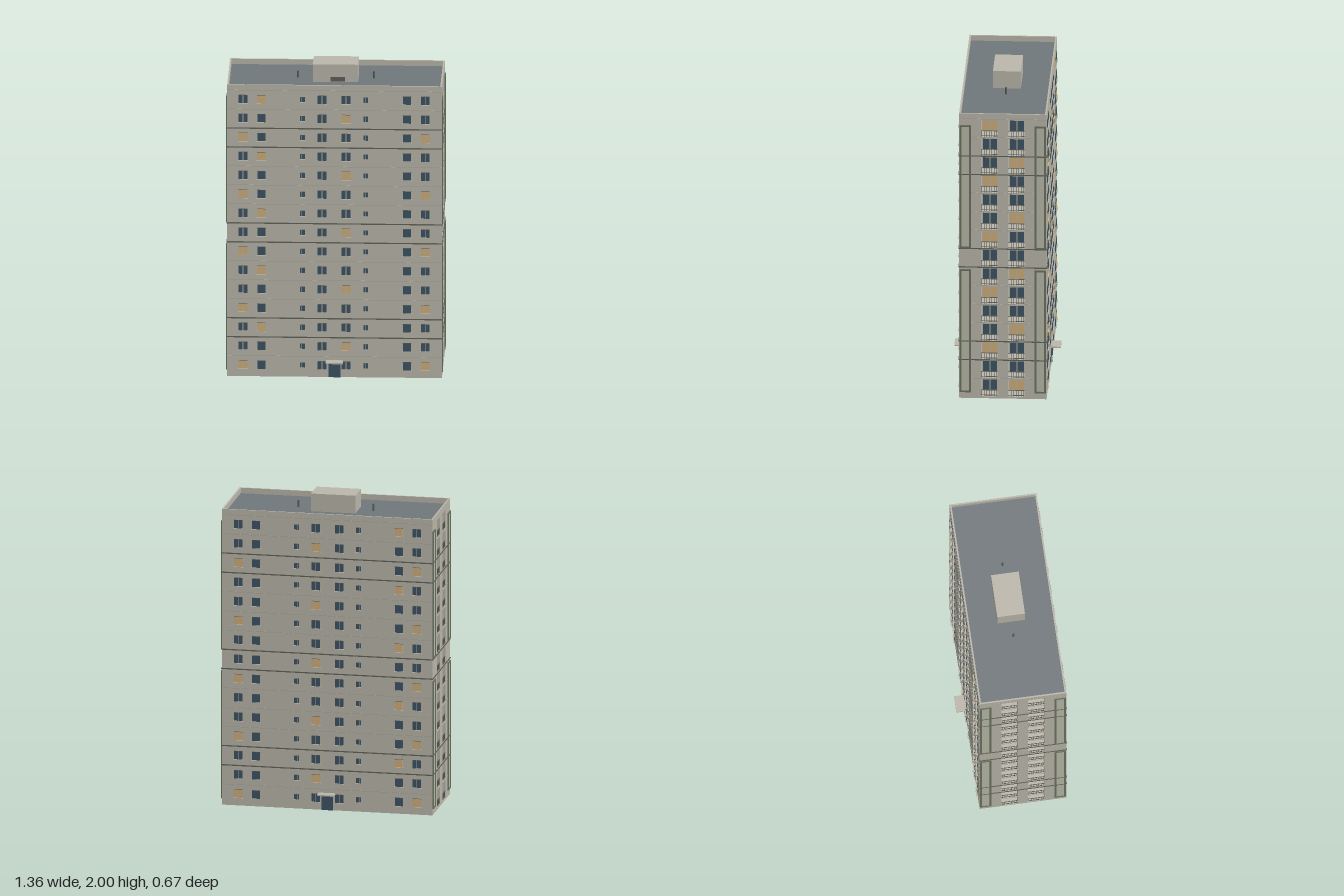
import * as THREE from 'three';
import { mergeGeometries } from 'three/addons/utils/BufferGeometryUtils.js';

const FLOORS = 15, PITCH = 0.125, BASE = 0.01;
const W = 0.675, D = 0.275, ROOF = 1.885, TOP = 1.92, LOGGIA = 0.1;

const mat = (name, color) => Object.assign(new THREE.MeshStandardMaterial({ color }), { name });

// Box given by its limits on each axis
function box(x0, x1, y0, y1, z0, z1) {
  return new THREE.BoxGeometry(x1 - x0, y1 - y0, z1 - z0)
    .translate((x0 + x1) / 2, (y0 + y1) / 2, (z0 + z1) / 2);
}

export function createModel() {
  const M = {
    concrete: mat('concrete', 0xbab6aa),
    seam: mat('panel seam', 0xa9a69b),
    panel: mat('pale green panel', 0xb8baa8),
    trim: mat('dark green trim', 0x6c7460),
    belt: mat('belt line', 0x5f6258),
    roof: mat('roof felt', 0x70777b),
    glass: mat('window glass', 0x3d5364),
    lit: mat('lit window', 0xd0ae78),
    rail: mat('railing metal', 0x5c5f58),
  };
  const group = new THREE.Group();
  const add = (parent, name, material, geos) => {
    const mesh = new THREE.Mesh(Array.isArray(geos) ? mergeGeometries(geos) : geos, material);
    mesh.name = name;
    parent.add(mesh);
    return mesh;
  };
  const floorY = i => BASE + i * PITCH;

  // Main block and roof
  const xi = W - LOGGIA;
  add(group, 'core', M.concrete, box(-xi, xi, 0, ROOF - 0.002, -D, D));
  add(group, 'roof', M.roof, box(-W + 0.01, W - 0.01, ROOF - 0.002, ROOF, -D + 0.01, D - 0.01));
  add(group, 'parapet', M.concrete, [
    box(-W, W, ROOF - 0.002, TOP, D - 0.01, D), box(-W, W, ROOF - 0.002, TOP, -D, -D + 0.01),
    box(-W, -W + 0.01, ROOF - 0.002, TOP, -D + 0.01, D - 0.01),
    box(W - 0.01, W, ROOF - 0.002, TOP, -D + 0.01, D - 0.01),
  ]);

  // Roof house with vent, and two pipes
  add(group, 'roofHouse', M.concrete, box(-0.142, 0.142, ROOF, 2, -0.088, 0.088));
  add(group, 'roofVent', M.rail, box(-0.03, 0.06, ROOF + 0.004, 1.918, 0.088, 0.091));
  for (const x of [-0.24, 0.24]) {
    add(group, 'ventPipe', M.rail, new THREE.CylinderGeometry(0.006, 0.006, 0.045, 8))
      .position.set(x, ROOF + 0.0225, 0);
  }

  // Thin seams at every storey, darker belts at some of them
  const belts = [2, 3, 7, 8, 12, 13];
  const ring = (y, h, out) => [
    box(-W - out, W + out, y - h / 2, y + h / 2, D, D + out),
    box(-W - out, W + out, y - h / 2, y + h / 2, -D - out, -D),
    box(W, W + out, y - h / 2, y + h / 2, -D, D),
    box(-W - out, -W, y - h / 2, y + h / 2, -D, D),
  ];
  const seams = [], beltGeos = [];
  for (let i = 1; i <= FLOORS; i++) {
    if (belts.includes(i)) beltGeos.push(...ring(floorY(i), 0.007, 0.004));
    else seams.push(...ring(floorY(i), 0.003, 0.001));
  }
  add(group, 'seams', M.seam, seams);
  add(group, 'belts', M.belt, beltGeos);

  // Window columns: centre, height, panes as [offset, width], storey of three that is lit
  const pair = [[-0.015, 0.025], [0.015, 0.025]];
  const columns = [
    { x: -0.575, h: 0.052, panes: pair, lit: 0 },
    { x: -0.46, h: 0.052, panes: [[0, 0.05]], lit: 2 },
    { x: -0.2, h: 0.032, panes: [[-0.011, 0.009], [0.006, 0.018]], lit: -1 },
    { x: -0.078, h: 0.052, panes: pair, lit: -1 },
    { x: 0.073, h: 0.052, panes: pair, lit: 1 },
    { x: 0.197, h: 0.032, panes: [[-0.011, 0.009], [0.006, 0.018]], lit: -1 },
    { x: 0.456, h: 0.052, panes: [[0, 0.05]], lit: -1 },
    { x: 0.57, h: 0.052, panes: pair, lit: 0 },
  ];

  // Long facades, mirrored front and back
  for (const s of [1, -1]) {
    const facade = new THREE.Group();
    facade.name = s > 0 ? 'frontFacade' : 'backFacade';
    group.add(facade);
    const plate = (x0, x1, y0, y1, out) => s > 0
      ? box(x0, x1, y0, y1, D, D + out) : box(x0, x1, y0, y1, -D - out, -D);
    const dark = [], bright = [], sills = [], heads = [];
    for (let i = 0; i < FLOORS; i++) {
      const cy = floorY(i) + 0.066;
      for (const c of columns) {
        const half = c.h > 0.04 ? 0.03 : 0.018;
        for (const [o, w] of c.panes) {
          (i % 3 === c.lit ? bright : dark).push(
            plate(c.x + o - w / 2, c.x + o + w / 2, cy - c.h / 2, cy + c.h / 2, 0.003));
        }
        sills.push(plate(c.x - half, c.x + half, cy - c.h / 2 - 0.005, cy - c.h / 2, 0.01));
        heads.push(plate(c.x - half + 0.003, c.x + half - 0.003,
          cy + c.h / 2, cy + c.h / 2 + 0.002, 0.004));
      }
    }
    add(facade, 'darkWindows', M.glass, dark);
    add(facade, 'litWindows', M.lit, bright);
    add(facade, 'windowSills', M.concrete, sills);
    add(facade, 'windowHeads', M.rail, heads);
    // Entrance
    add(facade, 'door', M.glass, [plate(-0.037, -0.001, 0, 0.102, 0.005), plate(0.001, 0.037, 0, 0.102, 0.005)]);
    add(facade, 'doorPost', M.rail, plate(-0.001, 0.001, 0, 0.102, 0.005));
    add(facade, 'canopy', M.concrete, plate(-0.054, 0.054, 0.103, 0.111, 0.06).translate(0, 0, 0));
  }

  // End wall pierced by two columns of loggias
  const endShape = new THREE.Shape([[-D, 0], [D, 0], [D, ROOF - 0.002], [-D, ROOF - 0.002]]
    .map(p => new THREE.Vector2(...p)));
  const LZ = 0.085, LH = 0.052;
  for (const z of [-LZ, LZ]) {
    for (let i = 0; i < FLOORS; i++) {
      const y0 = floorY(i) + 0.003, y1 = floorY(i) + 0.117;
      endShape.holes.push(new THREE.Path([[z - LH, y0], [z - LH, y1], [z + LH, y1], [z + LH, y0]]
        .map(p => new THREE.Vector2(...p))));
    }
  }
  const endGeo = new THREE.ExtrudeGeometry(endShape, { depth: LOGGIA, bevelEnabled: false });

  // Both ends, mirrored left and right
  for (const s of [1, -1]) {
    const end = new THREE.Group();
    end.name = s > 0 ? 'leftEnd' : 'rightEnd';
    group.add(end);
    add(end, 'loggiaWall', M.concrete,
      endGeo.clone().rotateY(s * Math.PI / 2).translate(s * xi, 0, 0));
    const slab = (a, b, y0, y1, z0, z1) => s > 0
      ? box(a, b, y0, y1, z0, z1) : box(-b, -a, y0, y1, z0, z1);

    // Loggia glazing and railings
    const dark = [], bright = [], rails = [];
    for (const side of [1, -1]) {
      const z = side * LZ;
      for (let i = 0; i < FLOORS; i++) {
        const y = floorY(i) + 0.003;
        const lit = i % 3 === (side > 0 ? 2 : 0);
        const panes = lit ? bright : dark;
        panes.push(slab(xi, xi + 0.003, y + 0.004, y + 0.1, z - 0.045, z - 0.002));
        panes.push(slab(xi, xi + 0.003, y + 0.004, y + 0.1, z + 0.002, z + 0.045));
        for (const h of [0.006, 0.04]) {
          rails.push(slab(W - 0.006, W - 0.002, y + h, y + h + 0.003, z - LH, z + LH));
        }
        for (let k = -3; k <= 3; k++) {
          const b = z + k * 0.0155;
          rails.push(slab(W - 0.005, W - 0.003, y, y + 0.04, b - 0.001, b + 0.001));
        }
      }
    }
    add(end, 'loggiaWindows', M.glass, dark);
    add(end, 'litLoggiaWindows', M.lit, bright);
    add(end, 'railings', M.rail, rails);

    // Tall framed panels at the corners
    const frames = [], fields = [];
    for (const z0 of [0.2, -0.272]) {
      const z1 = z0 + 0.072, t = 0.011;
      for (const [y0, y1] of [[0.04, 0.87], [1.012, 1.842]]) {
        fields.push(slab(W, W + 0.002, y0 + t, y1 - t, z0 + t, z1 - t));
        frames.push(slab(W, W + 0.006, y0, y1, z0, z0 + t), slab(W, W + 0.006, y0, y1, z1 - t, z1),
          slab(W, W + 0.006, y0, y0 + t, z0 + t, z1 - t), slab(W, W + 0.006, y1 - t, y1, z0 + t, z1 - t));
      }
    }
    add(end, 'cornerPanels', M.panel, fields);
    add(end, 'panelFrames', M.trim, frames);
  }
  return group;
}
